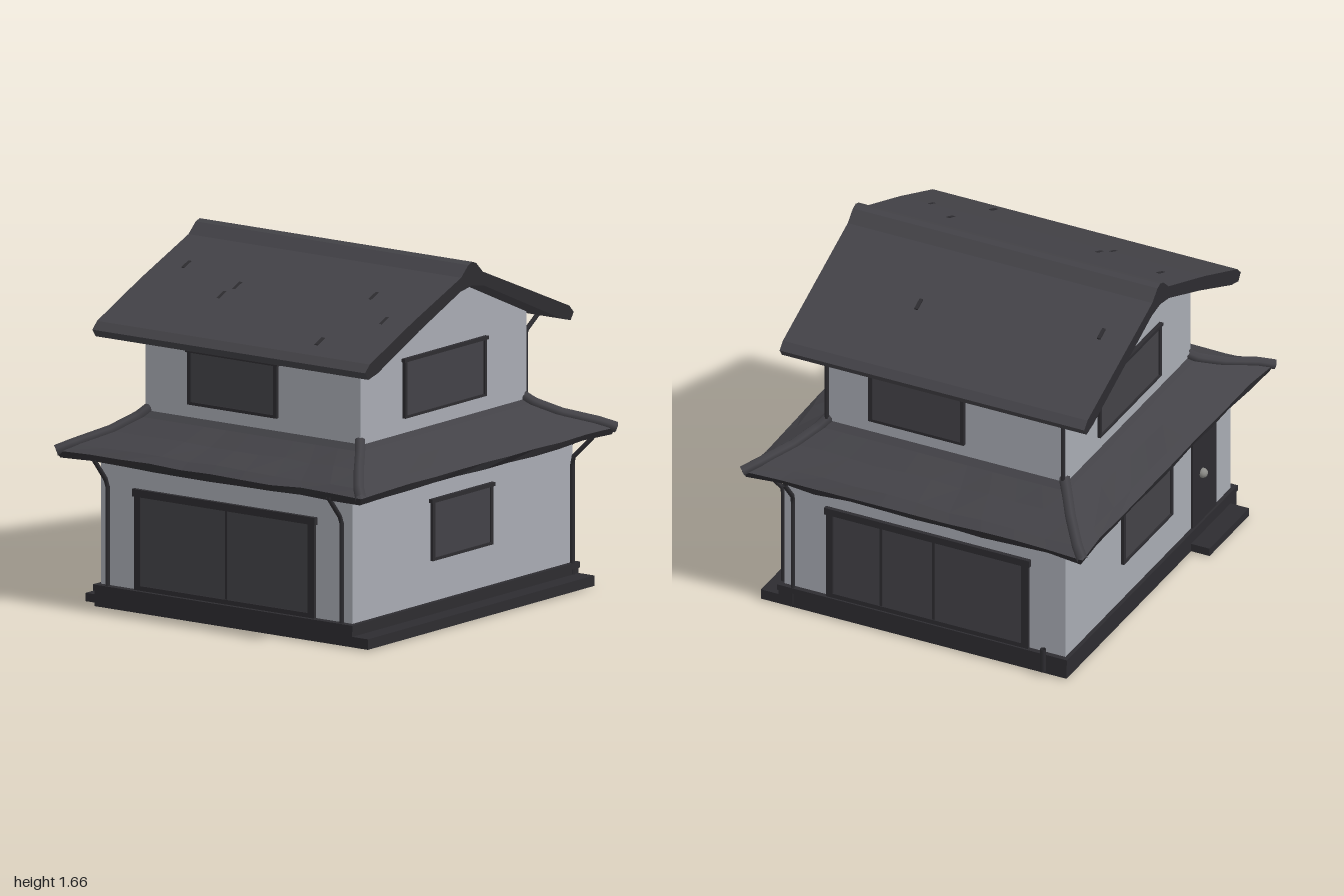
import * as THREE from 'three';

const mat = (name, color) => Object.assign(new THREE.MeshStandardMaterial({ color }), { name });

export function createModel() {
  const house = new THREE.Group();
  house.name = 'house';
  const wall = mat('plaster', 0xa8abb3), roof = mat('roofTiles', 0x434247);
  const trim = mat('darkTrim', 0x2d2c30), glass = mat('darkGlass', 0x434247);
  const floor = mat('earthFloor', 0x9f987d), metal = mat('metal', 0x8a8a86);
  trim.side = THREE.DoubleSide;

  let seed = 7;
  const rand = () => (seed = (seed * 16807) % 2147483647) / 2147483647 - 0.5;

  const add = (name, geo, material, parent = house) => {
    const m = new THREE.Mesh(geo, material);
    m.name = name;
    parent.add(m);
    return m;
  };
  // Box given by its minimum and maximum on each axis
  const box = (name, x0, x1, y0, y1, z0, z1, material, parent) => {
    const g = new THREE.BoxGeometry(x1 - x0, y1 - y0, z1 - z0);
    g.translate((x0 + x1) / 2, (y0 + y1) / 2, (z0 + z1) / 2);
    return add(name, g, material, parent);
  };
  // Straight-sided pipe through a few points
  const pipe = (name, pts, r, material = trim) => {
    const path = new THREE.CurvePath();
    const v = pts.map(p => new THREE.Vector3(...p));
    for (let i = 1; i < v.length; i++) path.add(new THREE.LineCurve3(v[i - 1], v[i]));
    return add(name, new THREE.TubeGeometry(path, 16, r, 6), material);
  };
  // Profile in (z, y) extruded along x
  const alongX = (name, pts, halfLength, material) => {
    const shape = new THREE.Shape(pts.map(([z, y]) => new THREE.Vector2(-z, y)));
    const g = new THREE.ExtrudeGeometry(shape, { depth: halfLength * 2, bevelEnabled: false });
    g.translate(0, 0, -halfLength);
    g.rotateY(Math.PI / 2);
    return add(name, g, material);
  };

  // Foundation, ledge and entrance step
  box('foundation', -0.735, 0.74, 0.006, 0.105, -0.86, 0.86, trim);
  box('foundationLip', -0.74, 0.745, 0.08, 0.108, -0.865, 0.865, trim);
  box('sideLedge', 0.7, 0.83, 0.006, 0.055, -0.86, 0.86, trim);
  box('entranceStep', -0.83, -0.7, 0.006, 0.045, 0.4, 0.8, trim);
  box('underside', -0.64, 0.69, 0, 0.008, -0.8, 0.8, floor);

  // Walls of both storeys
  box('lowerWalls', -0.72, 0.72, 0.1, 0.73, -0.84, 0.83, wall);
  alongX('upperWalls', [[-0.63, 0.8], [0.63, 0.8], [0.63, 1.33], [0, 1.58], [-0.63, 1.33]], 0.615, wall);

  // Gable roof: one half profile, the rear half slightly shorter
  const top = [[0, 1.665], [0.03, 1.655], [0.085, 1.605], [0.45, 1.462], [0.78, 1.32], [0.815, 1.285]];
  const under = [[0.79, 1.25], [0.72, 1.268], [0.4, 1.412], [0.09, 1.54], [0, 1.555]];
  const half = [...top, ...under];
  const back = half.slice(1, -1).reverse().map(([z, y]) => [-z * 0.945, y + (z > 0.7 ? 0.012 : 0)]);
  alongX('gableRoof', [...half, ...back], 0.78, [trim, roof]);
  // Slightly lifted tiles
  for (const [x, z] of [[-0.63, 0.3], [-0.27, 0.39], [-0.3, 0.47], [0.45, 0.31], [0.63, 0.47], [0.42, 0.68], [-0.63, -0.3], [0.26, -0.39]]) {
    const t = box('liftedTile', -0.008, 0.008, -0.006, 0.006, -0.03, 0.03, trim);
    t.position.set(x, 1.64 - 0.41 * Math.abs(z), z);
    t.rotation.x = Math.sign(z) * 0.4;
  }

  // Skirt roof: rectangular rings [half x, half z, y, corner flare]
  const rings = [[0.6, 0.615, 0.912, 0], [0.635, 0.66, 0.872, 0], [0.71, 0.77, 0.815, 0], [0.81, 0.905, 0.765, 0.005],
    [0.858, 0.955, 0.735, 0.015], [0.845, 0.945, 0.702, 0.012], [0.7, 0.81, 0.705, 0]];
  const corners = [[1, 1], [1, -1], [-1, -1], [-1, 1]], N = 10;
  const ringPoints = rings.map(([hx, hz, y, flare], k) => {
    const pts = [];
    corners.forEach(([ax, az], c) => {
      const [bx, bz] = corners[(c + 1) % 4];
      for (let i = 0; i < N; i++) {
        const t = i / N, f = i ? 0 : flare, wob = i && k > 1 && k < 6 ? 0.012 : 0;
        pts.push([(ax + (bx - ax) * t) * (hx + f) + rand() * wob,
          y + rand() * wob, (az + (bz - az) * t) * (hz + f) + rand() * wob]);
      }
    });
    return pts;
  });
  const skirt = (name, from, to, material) => {
    const pos = [];
    for (let k = from; k < to; k++) {
      const a = ringPoints[k], b = ringPoints[k + 1];
      for (let j = 0; j < a.length; j++) {
        const n = (j + 1) % a.length;
        pos.push(...b[j], ...b[n], ...a[n], ...b[j], ...a[n], ...a[j]);
      }
    }
    const g = new THREE.BufferGeometry();
    g.setAttribute('position', new THREE.Float32BufferAttribute(pos, 3));
    g.computeVertexNormals();
    add(name, g, material);
  };
  skirt('skirtRoof', 0, 4, roof);
  skirt('skirtEaves', 4, 6, trim);
  for (let c = 0; c < 4; c++) {
    pipe('hipRib', ringPoints.slice(0, 5).map(r => r[c * N]), 0.026, roof);
  }

  // Framed opening: local x right, y up, z outward; f is the frame width, splits are mullion fractions
  const opening = (name, turn, dist, x0, x1, y0, y1, f, splits = []) => {
    const g = new THREE.Group();
    g.name = name;
    g.rotation.y = turn;
    house.add(g);
    const d0 = dist - 0.01, d1 = dist + 0.016;
    box('pane', x0 + f / 2, x1 - f / 2, y0 + f / 2, y1 - f / 2, d0, dist + 0.008, glass, g);
    box('head', x0 - 0.008, x1 + 0.008, y1 - f, y1, d0, d1 + 0.004, trim, g);
    box('sill', x0, x1, y0, y0 + f * 0.7, d0, d1, trim, g);
    box('jamb', x0, x0 + f, y0, y1, d0, d1, trim, g);
    box('jamb', x1 - f, x1, y0, y1, d0, d1, trim, g);
    for (const s of splits) {
      const x = x0 + (x1 - x0) * s;
      box('mullion', x - 0.006, x + 0.006, y0, y1 - f, d0, dist + 0.012, trim, g);
    }
  };
  const H = Math.PI / 2;
  opening('frontSlidingDoor', 0, 0.83, -0.52, 0.51, 0.105, 0.58, 0.035, [0.51]);
  opening('frontUpperWindow', 0, 0.63, -0.365, 0.145, 0.96, 1.225, 0.02);
  opening('backSlidingDoor', 2 * H, 0.84, -0.5, 0.535, 0.105, 0.58, 0.035, [0.27, 0.53]);
  opening('backUpperWindow', 2 * H, 0.63, -0.39, 0.1, 0.96, 1.225, 0.02);
  opening('leftLowerWindow', H, 0.72, -0.24, 0.22, 0.3, 0.59, 0.018);
  opening('leftUpperWindow', H, 0.615, -0.31, 0.31, 0.965, 1.245, 0.016);
  opening('rightLowerWindow', -H, 0.72, -0.28, 0.22, 0.3, 0.59, 0.018);
  opening('rightUpperWindow', -H, 0.615, -0.31, 0.31, 0.965, 1.245, 0.016);

  // Entrance door with knob
  box('entranceDoor', -0.73, -0.71, 0.045, 0.61, 0.43, 0.67, trim);
  const knob = add('doorKnob', new THREE.SphereGeometry(0.024, 12, 8), metal);
  knob.position.set(-0.735, 0.36, 0.52);

  // Downpipes
  for (const x of [-0.67, 0.67]) {
    pipe('frontDownpipe', [[x, 0.715, 0.95], [x, 0.59, 0.845], [x, 0.02, 0.845]], 0.011);
  }
  pipe('backDownpipe', [[0.67, 0.7, -0.94], [0.67, 0.59, -0.852], [0.67, 0.02, -0.852]], 0.011);
  pipe('sideDownpipe', [[0.82, 0.7, -0.86], [0.735, 0.6, -0.82], [0.735, 0.05, -0.82]], 0.011);
  pipe('drainStub', [[-0.62, 0.02, -0.87], [-0.62, 0.14, -0.87]], 0.014);
  for (const x of [-0.605, 0.605]) {
    pipe('upperDownpipe', [[x, 1.285, -0.75], [x, 1.21, -0.638], [x, 0.88, -0.638]], 0.011);
  }
  return house;
}
